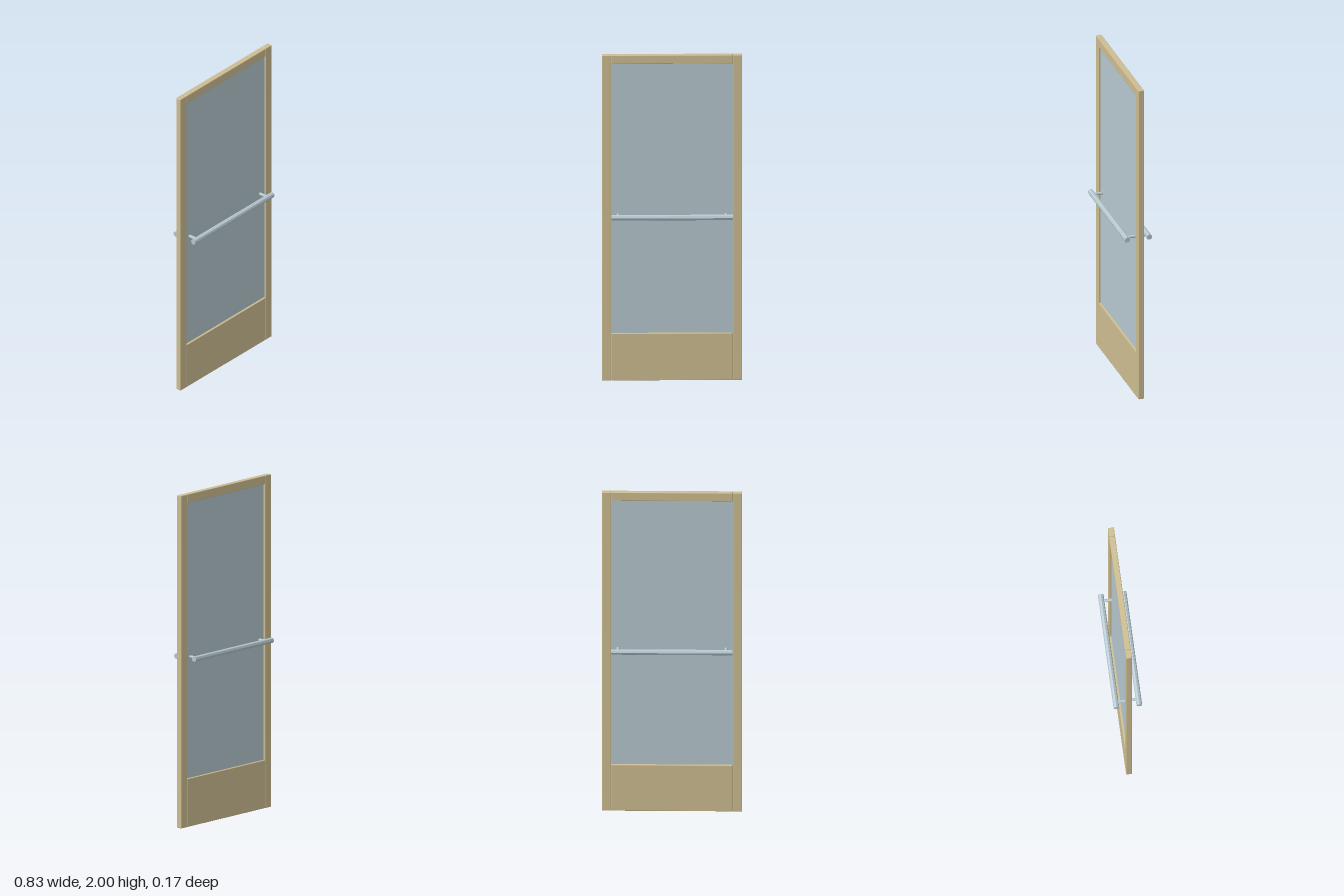
import * as THREE from 'three';
import { RoundedBoxGeometry } from 'three/addons/geometries/RoundedBoxGeometry.js';

const mat = (name, color, flatShading = false) => {
  const m = new THREE.MeshStandardMaterial({ color });
  m.name = name;
  m.flatShading = flatShading;
  return m;
};

export function createModel() {
  const door = new THREE.Group();
  door.name = 'glassDoor';
  const wood = mat('tan frame', 0xcdbd91);
  const glass = mat('pale blue glass and metal', 0xb6c7cf, true);

  const add = (name, geometry, material, x, y, z) => {
    const mesh = new THREE.Mesh(geometry, material);
    mesh.name = name;
    mesh.position.set(x, y, z);
    door.add(mesh);
    return mesh;
  };

  const depth = 0.035, halfWidth = 0.413, inner = 0.358;
  const topRailY = 1.947, bottomRailY = 0.29;

  // Frame member with softened edges, given by its left, right, bottom and top
  const member = (name, x0, x1, y0, y1) =>
    add(name, new RoundedBoxGeometry(x1 - x0, y1 - y0, depth, 1, 0.004), wood, (x0 + x1) / 2, (y0 + y1) / 2, 0);

  member('leftStile', inner, halfWidth, 0, 2);
  member('rightStile', -halfWidth, -inner, 0, 2);
  member('topRail', -inner, inner, topRailY, 2);
  member('kickPanel', -inner, inner, 0, bottomRailY);

  // Pane set into the frame
  add('glassPane', new THREE.BoxGeometry(2 * inner, topRailY - bottomRailY, 0.01), glass,
    0, (topRailY + bottomRailY) / 2, 0);

  // Octagonal push bars on both faces, each on two short posts
  const barY = 1.017, barZ = 0.068;
  for (const side of [1, -1]) {
    const face = side > 0 ? 'front' : 'back';
    const bar = add(face + 'PushBar', new THREE.CylinderGeometry(0.017, 0.017, 2 * inner, 8), glass, 0, barY, side * barZ);
    bar.rotation.z = Math.PI / 2;
    for (const x of [-0.318, 0.318]) {
      const post = add(face + 'BarPost', new THREE.CylinderGeometry(0.009, 0.009, barZ, 8), glass, x, barY, side * barZ / 2);
      post.rotation.x = Math.PI / 2;
    }
  }
  return door;
}
